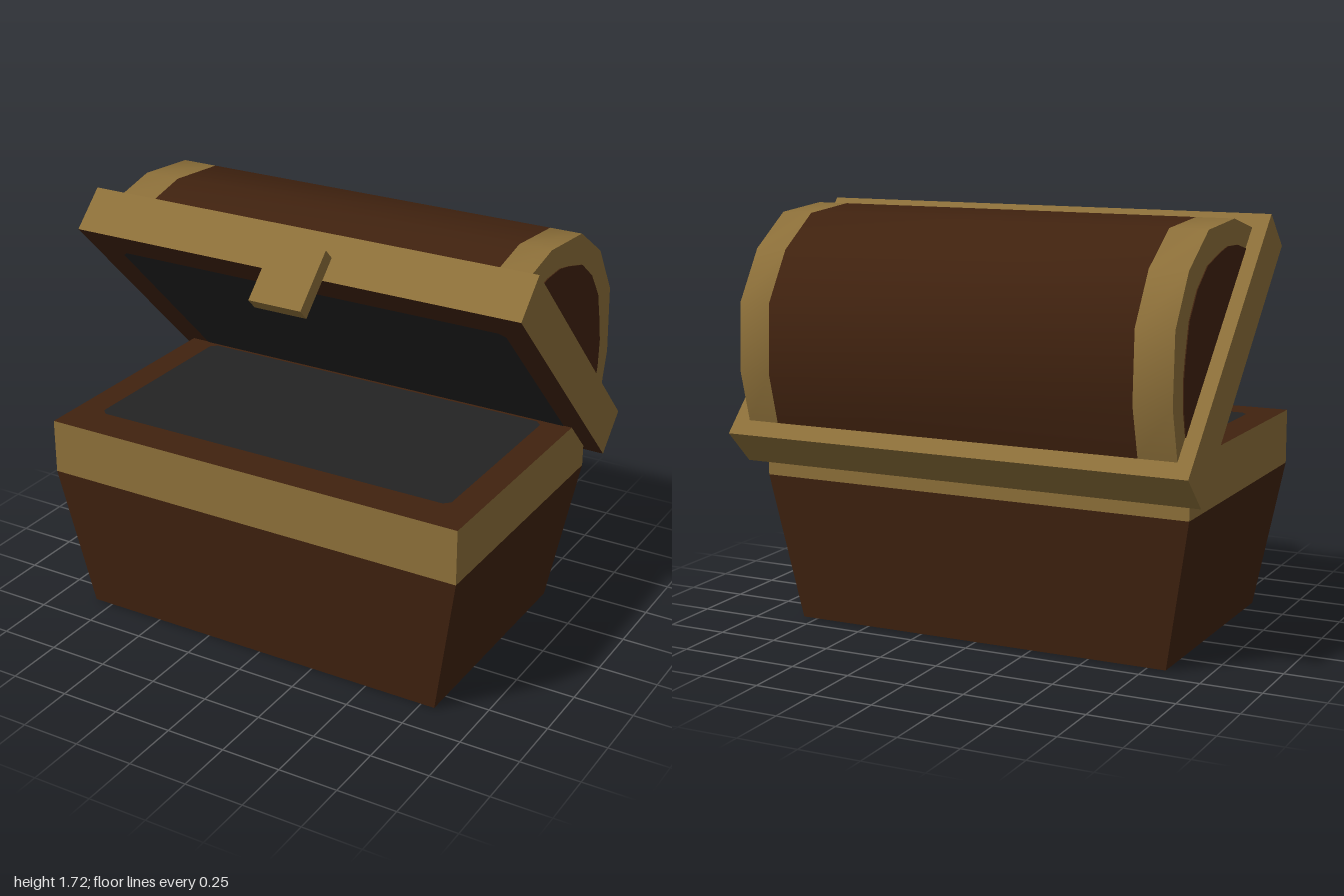
import * as THREE from 'three';
import { toCreasedNormals } from 'three/addons/utils/BufferGeometryUtils.js';

const material = (name, color) => {
  const m = new THREE.MeshStandardMaterial({ color });
  m.name = name;
  return m;
};

export function createModel() {
  const gold = material('gold trim', 0x8c6f39);
  const wood = material('dark wood', 0x40220f);
  const lining = material('dark lining', 0x232323);

  const model = new THREE.Group();
  model.name = 'treasureChest';

  const add = (parent, name, geometry, mat) => {
    const mesh = new THREE.Mesh(geometry, mat);
    mesh.name = name;
    parent.add(mesh);
    return mesh;
  };

  // Box given by its limits on each axis
  const box = (x0, x1, y0, y1, z0, z1) =>
    new THREE.BoxGeometry(x1 - x0, y1 - y0, z1 - z0)
      .translate((x0 + x1) / 2, (y0 + y1) / 2, (z0 + z1) / 2);

  // Flat panel with softened corners, facing up (dir 1) or down (dir -1)
  const panel = (w, d, dir, x, y, z) => {
    const a = w / 2, b = d / 2, r = 0.025;
    const s = new THREE.Shape([
      [-a + r, -b], [a - r, -b], [a, -b + r], [a, b - r],
      [a - r, b], [-a + r, b], [-a, b - r], [-a, -b + r],
    ].map(([u, v]) => new THREE.Vector2(u, v)));
    return new THREE.ShapeGeometry(s).rotateX(-dir * Math.PI / 2).translate(x, y, z);
  };

  // Base: tapered wooden body under a straight gold band
  const base = new THREE.Group();
  base.name = 'base';
  model.add(base);

  const body = new THREE.BoxGeometry(1.865, 0.62, 1.16);
  const p = body.attributes.position;
  for (let i = 0; i < p.count; i++) {
    if (p.getY(i) < 0) {
      p.setX(i, p.getX(i) * 0.88);
      p.setZ(i, p.getZ(i) * 0.88);
    }
  }
  body.computeVertexNormals();
  add(base, 'body', body.translate(-0.01, 0.31, 0.09), wood);
  add(base, 'rimBand', box(-0.9425, 0.9225, 0.62, 0.85, -0.49, 0.67),
    [gold, gold, wood, wood, gold, gold]);
  add(base, 'topLining', panel(1.625, 0.84, 1, -0.01, 0.853, 0.09), lining);
  add(base, 'bottomLining', panel(1.41, 0.69, -1, -0.01, -0.003, 0.09), lining);

  // Lid: built closed with its back edge on the hinge, then swung open
  const lid = new THREE.Group();
  lid.name = 'lid';
  lid.position.set(0, 0.68, -0.52);
  lid.rotation.x = -THREE.MathUtils.degToRad(45.6);
  model.add(lid);

  add(lid, 'lidFrame', box(-1, 1, 0, 0.198, 0, 1.26),
    [gold, gold, gold, wood, gold, gold]);
  add(lid, 'lidLining', panel(1.75, 0.97, -1, 0.015, -0.003, 0.63), lining);

  // Symmetric arch from [half width, height] points, extruded along x
  const arch = (half, x0, x1) => {
    const right = half.map(([w, h]) => new THREE.Vector2(0.63 + w, h));
    const left = half.slice(0, -1).reverse().map(([w, h]) => new THREE.Vector2(0.63 - w, h));
    const g = new THREE.ExtrudeGeometry(new THREE.Shape([...right, ...left]),
      { depth: x1 - x0, bevelEnabled: false });
    g.rotateY(-Math.PI / 2).translate(x1, 0, 0);
    return toCreasedNormals(g, 0.9);
  };
  const dome = [[0.558, 0.198], [0.447, 0.385], [0.235, 0.573], [0, 0.623]];
  const inset = [[0.45, 0.2], [0.395, 0.29], [0.32, 0.372], [0.25, 0.42], [0.13, 0.49], [0, 0.51]];

  add(lid, 'dome', arch(dome, -0.78, 0.795), wood);
  add(lid, 'domeBandRight', arch(dome, -0.938, -0.78), gold);
  add(lid, 'domeBandLeft', arch(dome, 0.795, 0.93), gold);
  add(lid, 'domeEndRight', arch(inset, -0.942, -0.937), wood);
  add(lid, 'domeEndLeft', arch(inset, 0.929, 0.934), wood);

  // Latch plate hanging below the front edge of the lid
  add(lid, 'latch', box(-0.07, 0.163, -0.165, 0.1, 1.26, 1.322), gold);

  return model;
}
